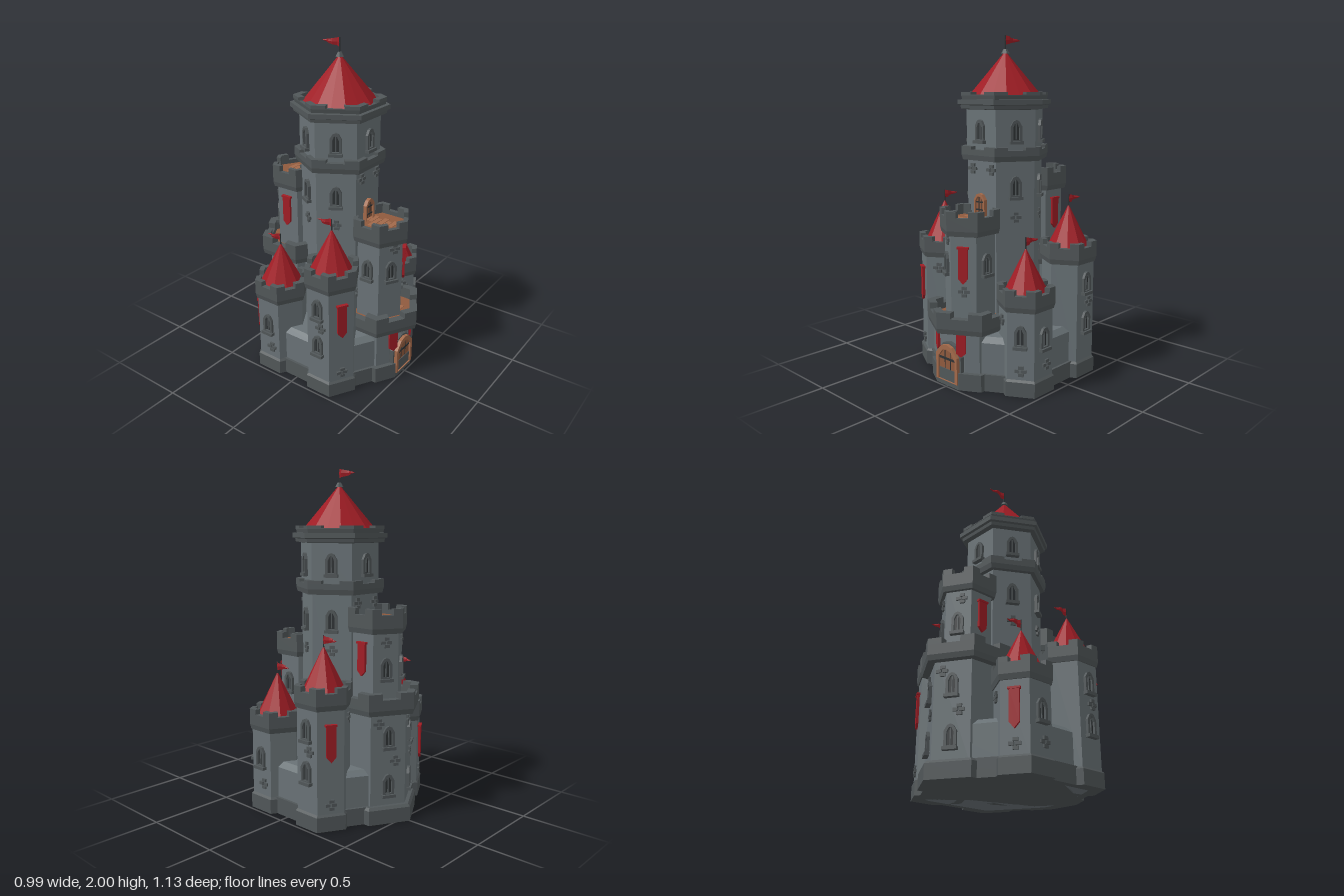
import * as THREE from 'three';

const mat = (color) => new THREE.MeshStandardMaterial({ color, flatShading: true, side: THREE.DoubleSide });
const STONE = mat(0x697276), TRIM = mat(0x515759), DARK = mat(0x2e3234);
const RED = mat(0xa01d25), WOOD = mat(0x8f5a3e), PALE_WOOD = mat(0xa2694a);
const DEG = Math.PI / 180;

function add(parent, name, geometry, material, x = 0, y = 0, z = 0) {
  const m = new THREE.Mesh(geometry, material);
  m.name = name;
  m.position.set(x, y, z);
  parent.add(m);
  return m;
}

function group(parent, name, x = 0, y = 0, z = 0, ry = 0) {
  const g = new THREE.Group();
  g.name = name;
  g.position.set(x, y, z);
  g.rotation.y = ry;
  parent.add(g);
  return g;
}

const box = (w, h, d) => new THREE.BoxGeometry(w, h, d);
const polygon = (pts) => new THREE.Shape(pts.map(([x, y]) => new THREE.Vector2(x, y)));
const extrude = (shape, depth) => new THREE.ExtrudeGeometry(shape, { depth, bevelEnabled: false });

// Six-sided turned shape with a corner on +z
const hexLathe = (profile) => new THREE.LatheGeometry(profile.map(([r, y]) => new THREE.Vector2(r, y)), 6);

// Upright prism over a list of [x, z] corners
function prism(pts, y0, y1, bevel = 0) {
  const geo = new THREE.ExtrudeGeometry(polygon(pts.map(([x, z]) => [x, -z])), {
    depth: y1 - y0 - 2 * bevel, bevelEnabled: bevel > 0, bevelThickness: bevel, bevelSize: bevel, bevelSegments: 1,
  });
  return geo.rotateX(-Math.PI / 2).translate(0, y0 + bevel, 0);
}

const corner = (k, r) => [r * Math.sin(k * 60 * DEG), r * Math.cos(k * 60 * DEG)];

// Hexagon whose front corner is cut flat at z = clip
function clippedHex(r, cz, clip) {
  const x = (cz + r - clip) * Math.sqrt(3);
  const rest = [1, 2, 3, 4, 5].map((k) => corner(k, r)).map(([px, pz]) => [px, pz + cz]);
  return [[-x, clip], [x, clip], ...rest];
}

// Parapet ring with angled merlons wrapping each corner
function parapet(parent, y0, y1, rOut, rIn, rBody, notch = 0.035) {
  const g = group(parent, 'parapet');
  const top = y1 - notch;
  add(g, 'parapetRing', hexLathe([[rBody, y0], [rOut - 0.008, y0], [rOut, y0 + 0.03], [rOut, top], [rIn, top], [rIn, y0]]), TRIM);
  const mix = (a, b, f) => [a[0] + (b[0] - a[0]) * f, a[1] + (b[1] - a[1]) * f];
  for (let k = 0; k < 6; k++) {
    const arm = (r, side) => mix(corner(k, r), corner(k + side, r), 0.3);
    const pts = [arm(rOut, -1), corner(k, rOut), arm(rOut, 1), arm(rIn, 1), corner(k, rIn), arm(rIn, -1)];
    add(g, 'merlon', prism(pts, top, y1), TRIM);
  }
}

// Group standing on a wall face, its +z pointing out of the wall
const onFace = (parent, name, apothem, deg, y) =>
  group(parent, name, apothem * Math.sin(deg * DEG), y, apothem * Math.cos(deg * DEG), deg * DEG);

const archPts = (w, h) => [[-w / 2, -h / 2], [w / 2, -h / 2], [w / 2, h * 0.22], [w * 0.24, h * 0.45], [0, h / 2], [-w * 0.24, h * 0.45], [-w / 2, h * 0.22]];

function windowAt(parent, apothem, deg, y) {
  const g = onFace(parent, 'window', apothem, deg, y);
  const frame = polygon(archPts(0.068, 0.13));
  frame.holes.push(polygon(archPts(0.038, 0.095)));
  add(g, 'windowFrame', extrude(frame, 0.018), TRIM, 0, 0, -0.002);
  add(g, 'windowPane', new THREE.ShapeGeometry(polygon(archPts(0.045, 0.1))), DARK, 0, 0, 0.003);
  add(g, 'windowBar', box(0.007, 0.09, 0.008), TRIM, 0, 0, 0.005);
  add(g, 'windowSill', box(0.08, 0.018, 0.03), TRIM, 0, -0.063, 0.013);
}

function bannerAt(parent, apothem, deg, y, w = 0.055, h = 0.21) {
  const g = onFace(parent, 'banner', apothem, deg, y);
  const cloth = [[-w / 2, h / 2], [-w / 2, -h * 0.35], [0, -h / 2], [w / 2, -h * 0.35], [w / 2, h / 2]];
  add(g, 'bannerCloth', extrude(polygon(cloth), 0.014), RED, 0, 0, 0.003);
  add(g, 'bannerRod', box(w + 0.012, 0.012, 0.022), RED, 0, h / 2, 0.01);
}

function bricksAt(parent, apothem, deg, y, dx = 0) {
  const g = onFace(parent, 'looseBricks', apothem, deg, y);
  for (const [x, by, w] of [[-0.018, 0, 0.028], [0.018, 0, 0.03], [0.003, 0.021, 0.028], [0.004, -0.021, 0.03]])
    add(g, 'brick', box(w, 0.018, 0.018), TRIM, x + dx, by, 0.002);
}

function door(parent, w, h, y, z) {
  const g = group(parent, 'door', 0, y, z);
  const frame = polygon(archPts(w, h));
  frame.holes.push(polygon(archPts(w * 0.78, h * 0.86).map(([x, py]) => [x, py - h * 0.06])));
  add(g, 'doorFrame', extrude(frame, 0.022), PALE_WOOD, 0, 0, -0.002);
  add(g, 'doorLeaf', extrude(polygon(archPts(w * 0.8, h * 0.9)), 0.008), WOOD);
  for (const s of [-0.25, 0.1]) add(g, 'doorBand', box(w * 0.76, h * 0.06, 0.012), DARK, 0, h * s, 0.006);
  for (const s of [-0.13, 0.13]) add(g, 'doorPlankGap', box(0.004, h * 0.75, 0.004), DARK, w * s, -h * 0.06, 0.008);
}

// Wavy pennant flying towards -z
function flag(parent, y, len, h) {
  const g = group(parent, 'flag', 0, y);
  const geo = new THREE.CylinderGeometry(0.006, 0.006, len, 4, 5).rotateX(-Math.PI / 2).translate(0, 0, -len / 2);
  const p = geo.attributes.position;
  for (let i = 0; i < p.count; i++) {
    const t = -p.getZ(i) / len;
    p.setY(i, (p.getY(i) / 0.006) * (h / 2) * (1 - 0.93 * t));
    p.setX(i, p.getX(i) * 0.6 + 0.009 * Math.sin(t * 9));
  }
  add(g, 'pennant', geo, RED);
  add(g, 'flagPole', new THREE.CylinderGeometry(0.004, 0.004, h * 1.6, 5), DARK, 0, -h * 0.3);
}

// Faceted roof with alternate ridges
function roof(parent, r, y0, y1, sides) {
  const geo = new THREE.ConeGeometry(r, y1 - y0, sides);
  const p = geo.attributes.position;
  for (let i = 0; i < p.count; i++) {
    const step = Math.round((Math.atan2(p.getX(i), p.getZ(i)) / (2 * Math.PI)) * sides);
    if (step % 2) p.setXYZ(i, p.getX(i) * 0.94, p.getY(i), p.getZ(i) * 0.94);
  }
  add(parent, 'roof', geo, RED, 0, (y0 + y1) / 2);
}

const plinth = (parent, r) =>
  add(parent, 'plinth', hexLathe([[0, 0], [r, 0], [r, 0.085], [r - 0.015, 0.1], [0, 0.1]]), TRIM);
const body = (parent, r, y0, y1) =>
  add(parent, 'towerBody', hexLathe([[0, y0], [r, y0], [r, y1], [0, y1]]), STONE);

function floorPlanks(parent, r, y) {
  add(parent, 'woodFloor', hexLathe([[r, y - 0.02], [r, y], [0, y]]), WOOD);
  for (let i = -2; i <= 2; i++)
    add(parent, 'plank', box(r * (i % 2 ? 0.75 : 0.55), 0.006, r * 0.2), PALE_WOOD, (i % 2 ? -0.1 : 0.15) * r, y, i * r * 0.22);
}

function cornerTower(parent, sx, sz) {
  const low = sx === sz;
  const g = group(parent, low ? 'lowCornerTower' : 'tallCornerTower', sx * 0.335, 0, sz * 0.19);
  const top = low ? 0.61 : 0.81, ap = 0.155 * 0.866;
  plinth(g, 0.167);
  body(g, 0.155, 0.08, top - 0.06);
  parapet(g, top - 0.125, top, 0.17, 0.135, 0.15, 0.03);
  roof(g, 0.128, top - 0.04, top + 0.21, 10);
  flag(g, top + 0.245, 0.1, 0.05);
  const side = sx * 90, diag = sz > 0 ? sx * 30 : sx * 150, inner = sz > 0 ? -sx * 30 : -sx * 150;
  windowAt(g, ap, side, low ? 0.33 : 0.57);
  if (!low) windowAt(g, ap, side, 0.33);
  if (low && sz > 0) windowAt(g, ap, diag, 0.35);
  else bannerAt(g, ap, diag, low ? 0.33 : 0.5);
  bricksAt(g, ap, diag, 0.15);
  bricksAt(g, ap, side, low ? 0.17 : 0.45, 0.02);
  bricksAt(g, ap, inner, top - 0.19);
}

// Two-tier tower against the keep: wide lower tier, slim upper tier
function wing(parent, s) {
  const front = s > 0;
  const g = group(parent, front ? 'gatehouse' : 'rearWing', 0, 0, s * 0.3);
  const lowTop = front ? 0.46 : 0.76, highTop = front ? 1.02 : 1.22;
  if (front) {
    add(g, 'gateWall', prism(clippedHex(0.21, 0, 0.15), 0.08, lowTop - 0.1), STONE);
    add(g, 'gatePlinth', prism(clippedHex(0.24, 0, 0.187), 0, 0.1), TRIM);
    door(g, 0.175, 0.22, 0.14, 0.175);
    add(g, 'doorSurround', extrude(polygon(archPts(0.2, 0.25)), 0.05), TRIM, 0, 0.135, 0.125);
    for (const d of [-30, 30]) bannerAt(g, 0.185, d, 0.265, 0.055, 0.14);
  } else {
    plinth(g, 0.25);
    body(g, 0.21, 0.08, lowTop - 0.08);
    for (const d of [150, 210]) {
      windowAt(g, 0.182, d, 0.5);
      windowAt(g, 0.182, d, 0.22);
      bricksAt(g, 0.182, d, 0.36, 0.04);
      bricksAt(g, 0.182, d, 0.58, -0.06);
    }
  }
  parapet(g, lowTop - 0.125, lowTop, 0.265, 0.215, 0.2);
  floorPlanks(g, 0.225, lowTop - 0.07);
  body(g, 0.15, lowTop - 0.1, highTop - 0.08);
  parapet(g, highTop - 0.14, highTop, 0.18, 0.15, 0.14);
  floorPlanks(g, 0.155, highTop - 0.06);
  const ap = 0.15 * 0.866;
  if (front) {
    bannerAt(g, ap, 30, 0.71);
    for (const d of [-30, 90, -90]) windowAt(g, ap, d, 0.71);
    bricksAt(g, ap, 30, 0.56);
    bricksAt(g, ap, -30, 0.85, 0.02);
  } else {
    for (const d of [90, -90]) bannerAt(g, ap, d, 0.93, 0.055, 0.19);
    for (const d of [150, 210]) windowAt(g, ap, d, 0.88);
    bricksAt(g, ap, 150, 1.03);
    bricksAt(g, ap, 210, 1.03, 0.02);
  }
}

function keep(parent) {
  const g = group(parent, 'keep');
  const shell = group(g, 'keepWalls', 0, 0, 0, 30 * DEG);
  body(shell, 0.23, 0.08, 1.31);
  parapet(shell, 1.285, 1.365, 0.268, 0.22, 0.23, 0.018);
  body(shell, 0.235, 1.34, 1.61);
  // Stepped crown under the roof
  add(shell, 'crown', hexLathe([[0.23, 1.575], [0.268, 1.58], [0.272, 1.6], [0.288, 1.605], [0.288, 1.632], [0.2, 1.635]]), TRIM);
  parapet(shell, 1.63, 1.675, 0.268, 0.225, 0.25, 0.02);
  roof(g, 0.222, 1.645, 1.91, 16);
  add(g, 'roofCap', new THREE.CylinderGeometry(0.012, 0.026, 0.025, 6), TRIM, 0, 1.908);
  flag(g, 1.973, 0.12, 0.054);
  const ap = 0.2;
  for (let k = 0; k < 6; k++) windowAt(g, 0.235 * 0.866, k * 60, 1.455);
  for (const d of [60, 120, 240, 300]) {
    windowAt(g, ap, d, 1.135);
    bricksAt(g, ap, d, 0.96);
  }
  for (const d of [0, 180]) for (const x of [-0.07, 0.08]) bricksAt(g, ap, d, 1.235, x);
  door(g, 0.085, 0.13, 1.03, 0.203);
}

export function createModel() {
  const castle = new THREE.Group();
  castle.name = 'castle';
  // Curtain wall between the towers
  add(castle, 'curtainWall', prism(clippedHex(0.462, 0, 0.41), 0, 0.31, 0.03), STONE);
  add(castle, 'curtainPlinth', prism(clippedHex(0.514, 0, 0.48), 0, 0.1), TRIM);
  for (const sx of [-1, 1]) for (const sz of [-1, 1]) cornerTower(castle, sx, sz);
  for (const s of [1, -1]) wing(castle, s);
  keep(castle);
  return castle;
}
